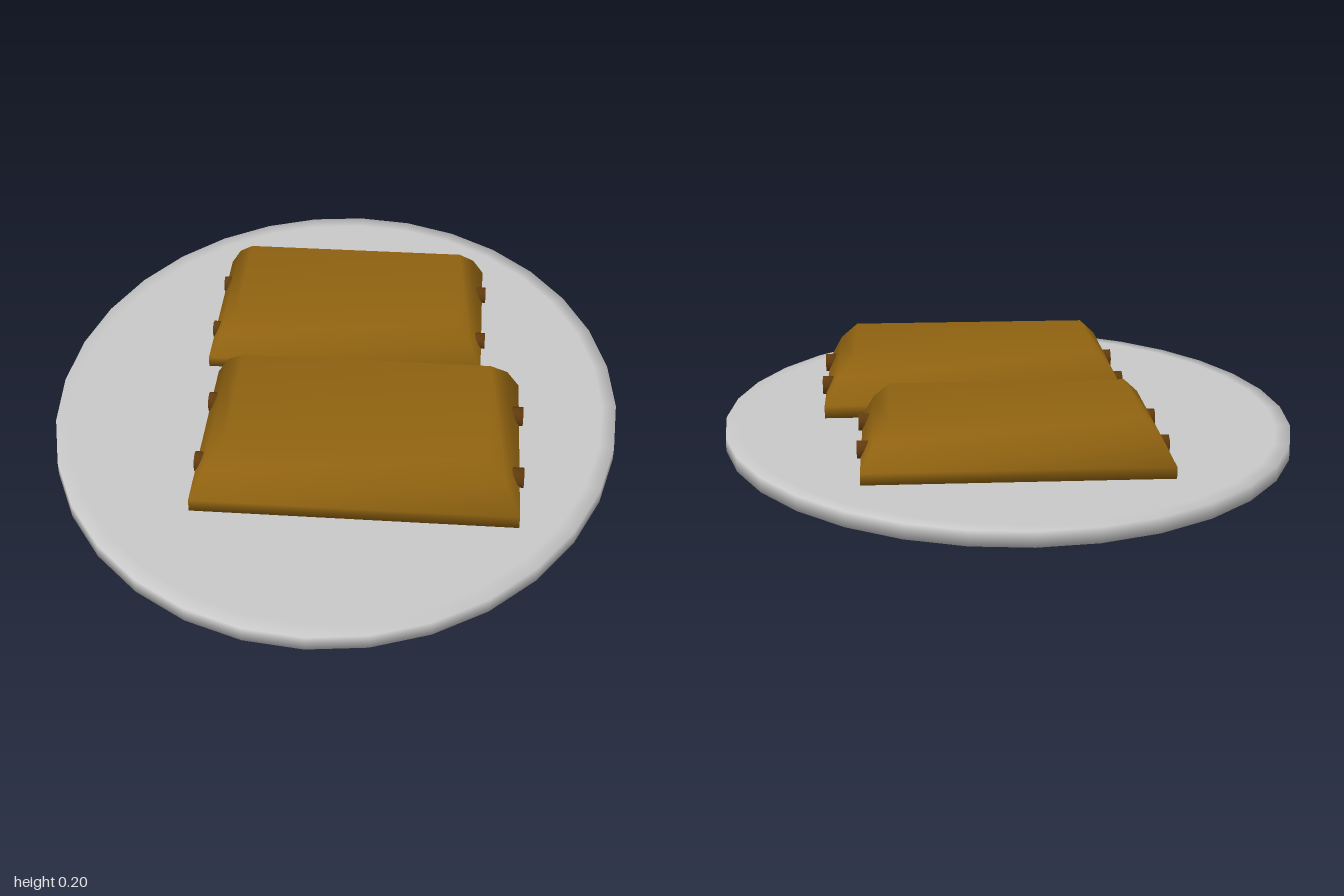
import * as THREE from 'three';
import { mergeVertices } from 'three/addons/utils/BufferGeometryUtils.js';

const material = (name, color) => {
  const m = new THREE.MeshStandardMaterial({ color });
  m.name = name;
  return m;
};

// Weld vertices so shading rolls softly over the edges
function soften(geometry) {
  geometry.deleteAttribute('uv');
  geometry.deleteAttribute('normal');
  const welded = mergeVertices(geometry, 1e-4);
  welded.computeVertexNormals();
  return welded;
}

// Rectangular loaf lofted from tiers of [inset, height]
function loafGeometry(width, height, depth) {
  const tiers = [[0, 0], [0, 0.22], [0.23, 0.67], [0.54, 1]];
  const corners = [[-1, 1], [1, 1], [1, -1], [-1, -1]];
  const points = [], index = [];
  tiers.forEach(([inset, level]) => corners.forEach(([sx, sz]) => points.push(
    sx * (width / 2 - inset * height), level * height, sz * (depth / 2 - inset * height))));
  for (let t = 0; t < tiers.length - 1; t++) {
    for (let i = 0; i < 4; i++) {
      const a = t * 4 + i, b = t * 4 + (i + 1) % 4;
      index.push(a, b, b + 4, a, b + 4, a + 4);
    }
  }
  const top = (tiers.length - 1) * 4;
  index.push(top, top + 1, top + 2, top, top + 2, top + 3, 0, 2, 1, 0, 3, 2);
  const g = new THREE.BufferGeometry();
  g.setAttribute('position', new THREE.Float32BufferAttribute(points, 3));
  g.setIndex(index);
  g.computeVertexNormals();
  return g;
}

export function createModel() {
  const model = new THREE.Group();
  const porcelain = material('plateGrey', 0xc8c8c8);
  const crust = material('crustBrown', 0x8f6210);
  const filling = material('fillingBrown', 0x643c0e);

  const add = (parent, name, geometry, mat, x, y, z) => {
    const mesh = new THREE.Mesh(geometry, mat);
    mesh.name = name;
    mesh.position.set(x, y, z);
    parent.add(mesh);
    return mesh;
  };

  // Oval plate
  const profile = [[0, 0], [1, 0], [1, 0.04], [0.95, 0.04], [0, 0.04]]
    .map(([r, y]) => new THREE.Vector2(r, y));
  const plate = new THREE.LatheGeometry(profile, 32);
  plate.scale(0.8, 1, 1);
  add(model, 'plate', soften(plate), porcelain, 0, 0, 0);

  // Two pastries, each with small round plugs on both ends
  const pastries = [
    { name: 'frontPastry', x: 0.085, z: 0.262, w: 0.87, h: 0.16, d: 0.585, r: 0.027, gap: 0.135, plugY: 0.092 },
    { name: 'backPastry', x: 0.01, z: -0.372, w: 0.8, h: 0.14, d: 0.535, r: 0.024, gap: 0.125, plugY: 0.086 },
  ];
  for (const p of pastries) {
    const pastry = new THREE.Group();
    pastry.name = p.name;
    pastry.position.set(p.x, 0, p.z);
    model.add(pastry);
    add(pastry, 'crust', loafGeometry(p.w, p.h, p.d), crust, 0, 0.04, 0);

    const plug = new THREE.CylinderGeometry(p.r, p.r, 0.04, 8);
    plug.rotateZ(Math.PI / 2);
    const plugGeometry = soften(plug);
    for (const z of [-p.gap, p.gap]) {
      add(pastry, 'rightPlug', plugGeometry, filling, -p.w / 2 + 0.018, p.plugY, z + 0.013);
      add(pastry, 'leftPlug', plugGeometry, filling, p.w / 2 - 0.01, p.plugY, z + 0.013);
    }
  }
  return model;
}
